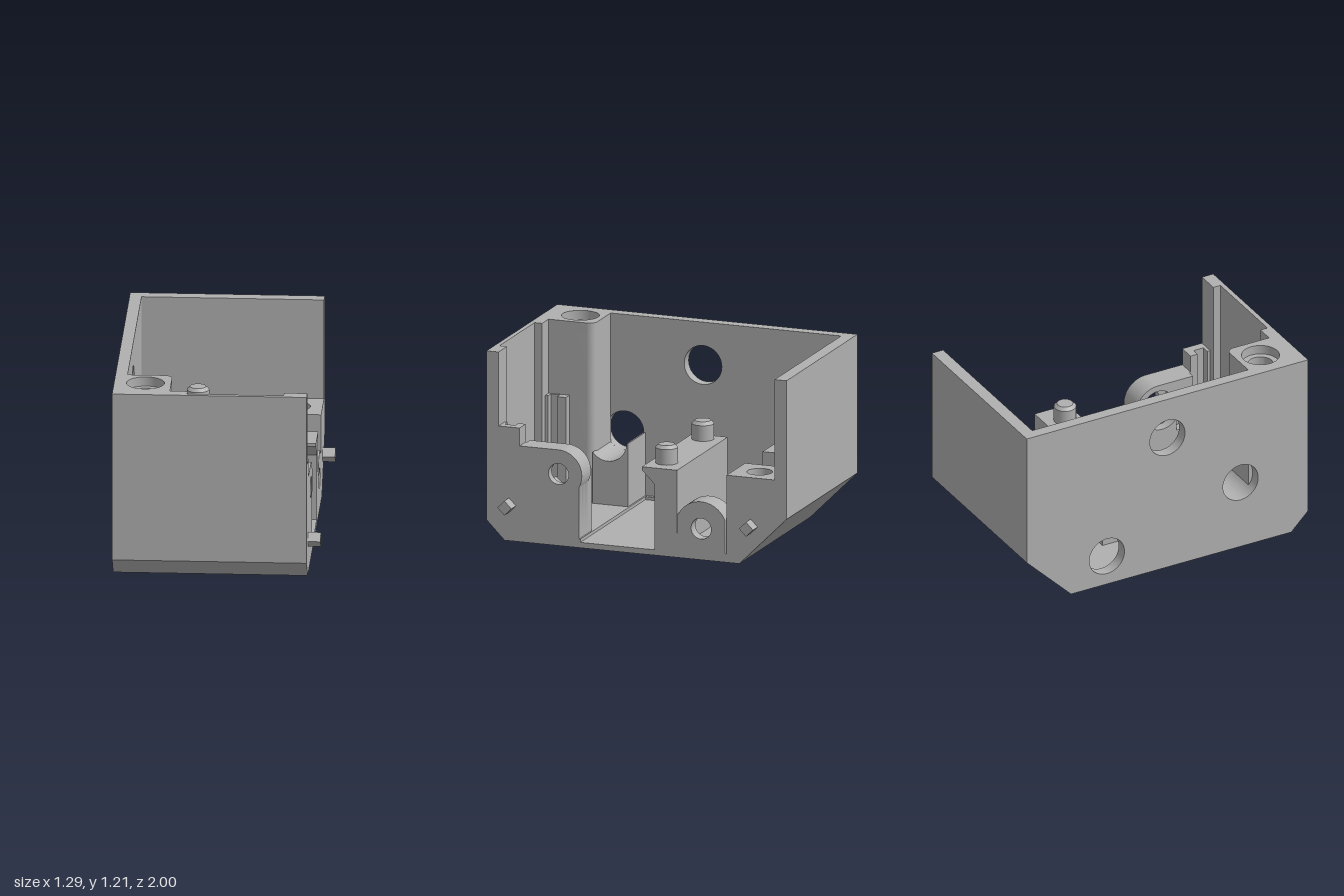
import * as THREE from 'three';
import { toCreasedNormals } from 'three/addons/utils/BufferGeometryUtils.js';

export function createModel() {
  const model = new THREE.Group();
  model.name = 'openHousing';
  const grey = new THREE.MeshStandardMaterial({ color: 0xb0b0b0 });
  grey.name = 'grey plastic';

  const add = (name, geometry) => {
    const mesh = new THREE.Mesh(geometry, grey);
    mesh.name = name;
    model.add(mesh);
    return mesh;
  };
  const toShape = (points) => new THREE.Shape(points.map(([a, b]) => new THREE.Vector2(a, b)));
  const addHole = (shape, a, b, r) => {
    const hole = new THREE.Path();
    hole.absarc(a, b, r, 0, Math.PI * 2, true);
    shape.holes.push(hole);
    return shape;
  };
  const extrude = (shape, depth) =>
    new THREE.ExtrudeGeometry(shape, { depth, bevelEnabled: false, curveSegments: 24 });

  // A (z, y) section swept along x
  const alongX = (name, shape, x0, x1) => {
    const g = extrude(shape, x1 - x0);
    g.rotateY(-Math.PI / 2).translate(x1, 0, 0);
    return add(name, toCreasedNormals(g, 0.5));
  };
  // An (x, -z) section swept up y
  const alongY = (name, shape, y0, y1) => {
    const g = extrude(shape, y1 - y0);
    g.rotateX(-Math.PI / 2).translate(0, y0, 0);
    return add(name, toCreasedNormals(g, 0.5));
  };
  const box = (name, x0, x1, y0, y1, z0, z1) =>
    add(name, new THREE.BoxGeometry(x1 - x0, y1 - y0, z1 - z0)
      .translate((x0 + x1) / 2, (y0 + y1) / 2, (z0 + z1) / 2));

  const H = 1.205, IN = -0.57, OUT = 0.565, FLOOR = 0.055;

  // Closed side wall with three round openings
  const side = toShape([[0.88, 0], [1, 0.12], [1, H], [-1, H], [-1, 0.315], [-0.685, 0]]);
  addHole(side, 0, 0.93, 0.125);
  addHole(side, 0.52, 0.46, 0.125);
  addHole(side, -0.43, 0.2, 0.125);
  alongX('sideWall', side, -0.645, IN);

  // Front wall, floor and back wall as one section, with a floor pocket and a front recess
  const shell = (pocket, recess) => toShape([
    [0.88, 0], [1, 0.12], [1, H],
    ...(recess ? [[0.97, H], [0.97, 0.16], [0.92, 0.16]] : [[0.92, H]]),
    [0.92, 0.135], [0.84, FLOOR],
    ...(pocket ? [[0.375, FLOOR], [0.375, 0.035], [-0.12, 0.035], [-0.12, FLOOR]] : []),
    [-0.64, FLOOR], [-0.92, 0.335], [-0.92, H], [-1, H], [-1, 0.315], [-0.685, 0],
  ]);
  alongX('shellInnerEnd', shell(false, false), IN, -0.545);
  alongX('shellInner', shell(true, false), -0.545, -0.18);
  alongX('shellMiddle', shell(true, true), -0.18, 0.42);
  alongX('shellOpenEnd', shell(true, false), 0.42, OUT);

  // Cross beam with an undercut lip
  alongX('crossBeam', toShape([[-0.12, 0.035], [-0.12, 0.455], [-0.035, 0.54], [-0.035, 0.56],
    [-0.27, 0.56], [-0.27, 0.035]]), -0.3, OUT);

  // Back blocks that follow the sloping floor
  const blockSection = (top) =>
    toShape([[-0.6, 0.04], [-0.6, top], [-0.92, top], [-0.92, 0.3], [-0.66, 0.04]]);
  alongX('pinBlock', blockSection(0.56), -0.37, -0.05);
  alongX('socketBlockBase', blockSection(0.36), 0.25, OUT);
  const socket = toShape([[0.25, 0.6], [OUT, 0.6], [OUT, 0.92], [0.25, 0.92]]);
  alongY('socketBlockTop', addHole(socket, 0.41, 0.76, 0.08), 0.36, 0.56);

  // Locating pins with chamfered tips
  for (const [x, z] of [[-0.21, -0.76], [-0.21, -0.14], [0.41, -0.14]]) {
    add('locatingPin', new THREE.CylinderGeometry(0.07, 0.07, 0.1, 40).translate(x, 0.61, z));
    add('pinTip', new THREE.CylinderGeometry(0.05, 0.07, 0.02, 40).translate(x, 0.67, z));
  }

  // Rear bearing boss, counterbored from inside
  const rearBoss = (r) => {
    const s = new THREE.Shape();
    s.moveTo(-0.59, 0.04);
    s.lineTo(-0.27, 0.04);
    s.absarc(-0.43, 0.2, 0.173, 0.42, Math.PI - 0.42, false);
    s.lineTo(-0.59, 0.04);
    return addHole(s, -0.43, 0.2, r);
  };
  alongX('rearBossFace', rearBoss(0.067), 0.49, OUT);
  alongX('rearBossBore', rearBoss(0.115), 0.41, 0.49);

  // Front bearing plate in layers, leaving a vertical groove
  const frontPlate = (end, step, r) => {
    const s = new THREE.Shape();
    s.moveTo(0.385, 0.045);
    s.lineTo(end, 0.045);
    if (step) {
      s.lineTo(end, 0.73);
      s.lineTo(0.78, 0.73);
      s.lineTo(0.78, 0.615);
    } else s.lineTo(end, 0.615);
    s.absarc(0.52, 0.46, 0.155, Math.PI / 2, Math.PI + 0.51, false);
    s.lineTo(0.385, 0.045);
    return addHole(s, 0.52, 0.46, r);
  };
  alongX('frontPlateFace', frontPlate(0.92, true, 0.067), 0.51, OUT);
  alongX('frontPlateMiddle', frontPlate(0.83, true, 0.115), 0.46, 0.51);
  alongX('frontPlateInner', frontPlate(0.77, false, 0.115), 0.41, 0.46);
  box('grooveLip', 0.46, 0.51, 0.06, 0.73, 0.9, 0.92);

  // Concave saddles on both sides
  const saddle = new THREE.Shape();
  saddle.moveTo(0.385, 0.045);
  saddle.lineTo(0.62, 0.045);
  saddle.lineTo(0.62, 0.384);
  saddle.absarc(0.52, 0.46, 0.125, -0.65, -Math.PI, true);
  saddle.lineTo(0.385, 0.46);
  saddle.lineTo(0.385, 0.045);
  alongX('innerSaddle', saddle, IN, -0.275);
  alongX('outerSaddle', saddle, 0.35, 0.41);
  box('outerSaddleShelf', 0.35, 0.41, 0.05, 0.3, 0.61, 0.92);

  // Corner screw post with a rounded inner edge and a counterbored hole
  const post = (r) => {
    const s = new THREE.Shape();
    s.moveTo(IN - 0.005, -0.925);
    s.lineTo(-0.29, -0.925);
    s.absarc(-0.34, -0.665, 0.05, 0, Math.PI / 2, false);
    s.lineTo(IN - 0.005, -0.615);
    return r ? addHole(s, -0.45, -0.77, r) : s;
  };
  alongY('screwPostBase', post(0), 0.05, 0.7);
  alongY('screwPostBore', post(0.08), 0.7, 1.145);
  alongY('screwPostTop', post(0.118), 1.145, H);

  // Guide rails beside the post
  box('guideRail', -0.29, -0.23, 0.05, 0.73, 0.78, 0.84);
  box('guideRailLip', -0.29, -0.23, 0.06, 0.73, 0.9, 0.92);
  box('guideRailBack', -0.3, -0.28, 0.06, 0.73, 0.78, 0.92);

  // Square pegs turned on their corners
  for (const [y, z] of [[0.228, 0.85], [0.247, -0.76]]) {
    const peg = add('alignmentPeg', new THREE.BoxGeometry(0.1, 0.066, 0.066));
    peg.position.set(0.595, y, z);
    peg.rotation.x = Math.PI / 4;
  }
  return model;
}
